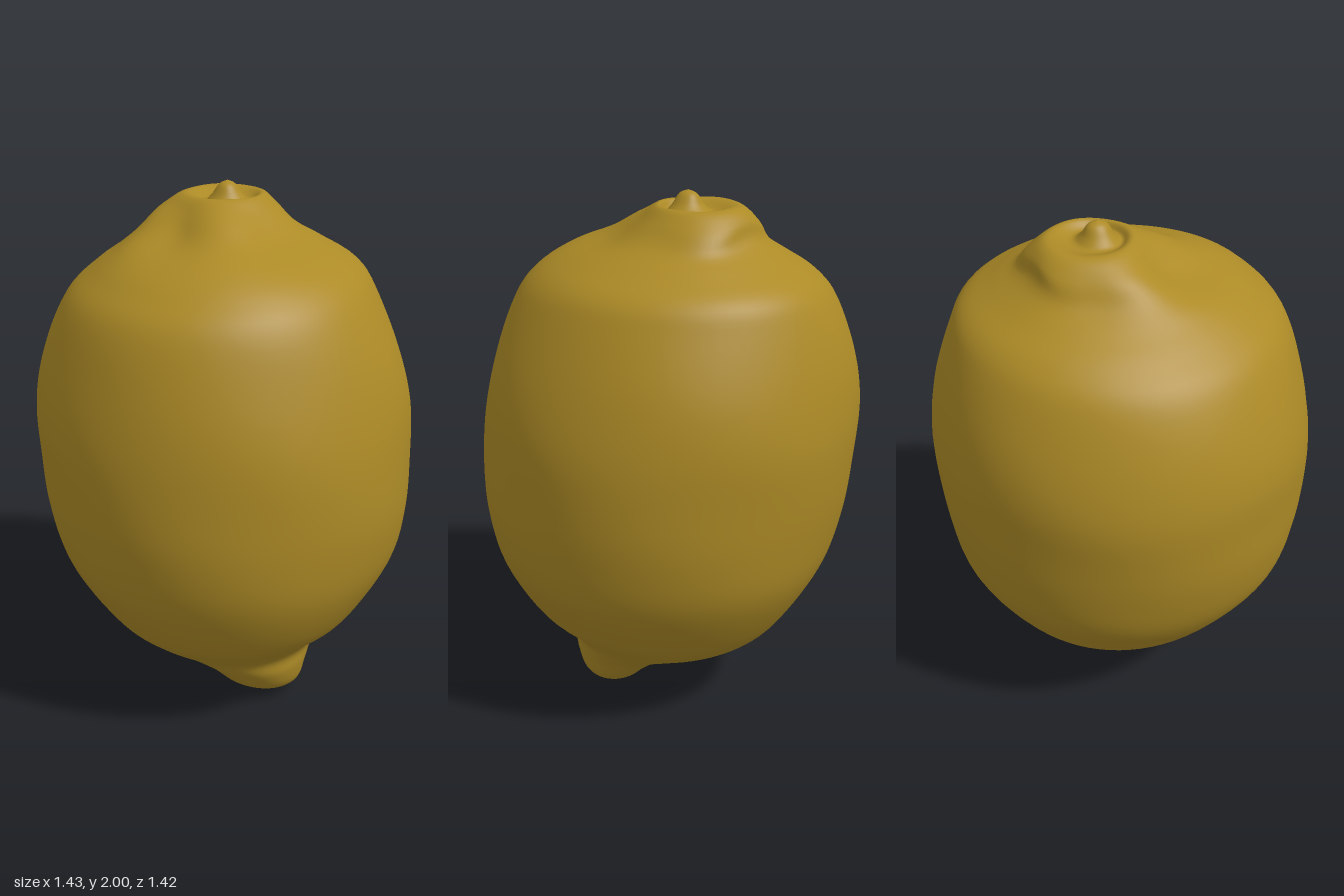
import * as THREE from 'three';

// Cross-sections from the stem down to the tip: y, x min, x max, z min, z max
const SECTIONS = [
  [2.0, 0, 0, -0.085, -0.085],
  [1.985, -0.03, 0.03, -0.12, -0.05],
  [1.945, -0.06, 0.06, -0.145, -0.025],
  [1.925, -0.09, 0.09, -0.18, 0.0],
  [1.95, -0.16, 0.13, -0.27, 0.03],
  [1.9, -0.23, 0.19, -0.335, 0.11],
  [1.83, -0.3, 0.27, -0.37, 0.23],
  [1.77, -0.39, 0.39, -0.46, 0.4],
  [1.7, -0.49, 0.5, -0.57, 0.51],
  [1.6, -0.59, 0.565, -0.625, 0.595],
  [1.4, -0.675, 0.65, -0.685, 0.66],
  [1.2, -0.715, 0.7, -0.71, 0.7],
  [1.0, -0.705, 0.712, -0.7, 0.712],
  [0.8, -0.68, 0.705, -0.675, 0.705],
  [0.6, -0.62, 0.66, -0.625, 0.665],
  [0.4, -0.485, 0.54, -0.51, 0.565],
  [0.29, -0.38, 0.43, -0.41, 0.45],
  [0.22, -0.25, 0.365, -0.27, 0.37],
  [0.15, -0.09, 0.335, -0.1, 0.33],
  [0.07, 0.01, 0.31, 0.01, 0.27],
  [0.025, 0.08, 0.26, 0.06, 0.2],
  [0.0, 0.17, 0.17, 0.135, 0.135],
];

// Smooth surface through the sections, with slight unevenness in the peel
function createPeelGeometry(rows, sides) {
  const centres = new THREE.CatmullRomCurve3(
    SECTIONS.map(([y, l, r, b, f]) => new THREE.Vector3((l + r) / 2, y, (b + f) / 2)),
    false, 'catmullrom', 0.5);
  const radii = new THREE.CatmullRomCurve3(
    SECTIONS.map(([, l, r, b, f]) => new THREE.Vector3((r - l) / 2, 0, (f - b) / 2)),
    false, 'catmullrom', 0.5);
  const positions = [];
  const indices = [];
  for (let i = 0; i <= rows; i++) {
    const c = centres.getPoint(i / rows);
    const r = radii.getPoint(i / rows);
    // Lobes of the collar fade out below the shoulder and around the stem
    const collar = Math.exp(-(((c.y - 1.86) / 0.07) ** 2)) * THREE.MathUtils.smoothstep(r.x, 0.08, 0.2);
    for (let j = 0; j < sides; j++) {
      const a = (j / sides) * Math.PI * 2;
      const ripple = 1
        + collar * (0.05 * Math.sin(3 * a + 0.6) + 0.035 * Math.sin(5 * a + 2))
        + 0.005 * Math.sin(5 * a + 4 * c.y) * Math.sin(7 * c.y + 1);
      positions.push(
        c.x + r.x * ripple * Math.sin(a),
        c.y + collar * 0.012 * Math.sin(4 * a + 1),
        c.z + r.z * ripple * Math.cos(a));
      if (i < rows) {
        const k = (j + 1) % sides;
        const p = i * sides + j, q = i * sides + k;
        if (i < rows - 1) indices.push(p, p + sides, q + sides);
        if (i > 0) indices.push(p, q + sides, q);
        if (i === rows - 1) continue;
      }
    }
  }
  const geometry = new THREE.BufferGeometry();
  geometry.setAttribute('position', new THREE.Float32BufferAttribute(positions, 3));
  geometry.setIndex(indices);
  geometry.computeVertexNormals();
  return geometry;
}

export function createModel() {
  const group = new THREE.Group();
  group.name = 'lemon';
  const peelYellow = new THREE.MeshStandardMaterial({ color: 0xac8a26 });
  peelYellow.name = 'peel yellow';
  const peel = new THREE.Mesh(createPeelGeometry(105, 72), peelYellow);
  peel.name = 'peel';
  group.add(peel);
  return group;
}
